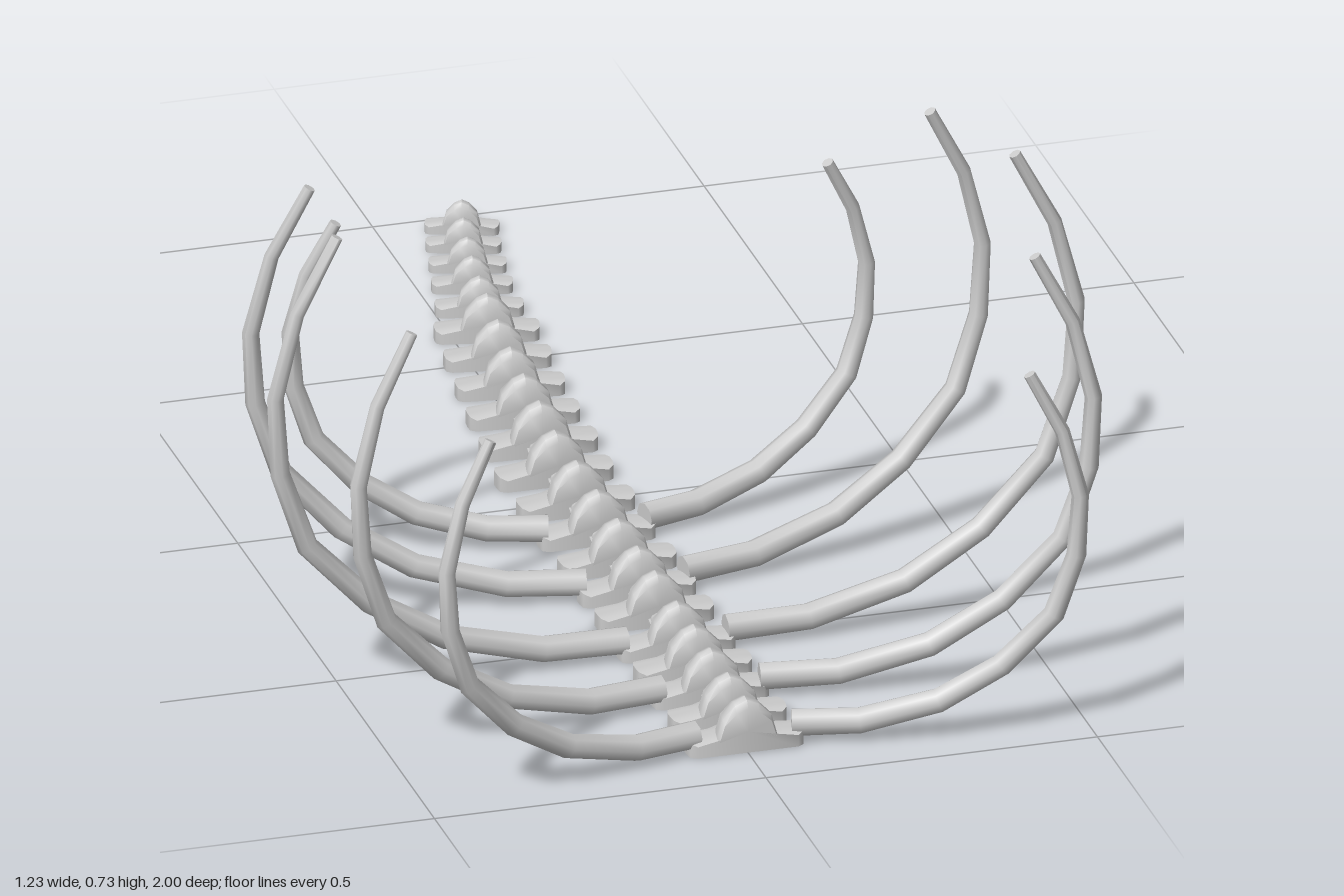
import * as THREE from 'three';
import { toCreasedNormals } from 'three/addons/utils/BufferGeometryUtils.js';

const material = new THREE.MeshStandardMaterial({ color: 0xcccccc });

// Skin a list of equal-length rings and close both ends with fans.
// Rings run counter-clockwise when seen from the side of the first ring.
function loft(rings, crease) {
  const n = rings[0].length, positions = [], index = [];
  rings.forEach(r => r.forEach(p => positions.push(...p)));
  for (let i = 0; i < rings.length - 1; i++) {
    for (let j = 0; j < n; j++) {
      const a = i * n + j, b = i * n + (j + 1) % n;
      index.push(a, a + n, b, b, a + n, b + n);
    }
  }
  [0, rings.length - 1].forEach((i, end) => {
    const centre = positions.length / 3;
    const mid = [0, 1, 2].map(k => rings[i].reduce((s, p) => s + p[k], 0) / n);
    positions.push(...mid);
    for (let j = 0; j < n; j++) {
      const a = i * n + j, b = i * n + (j + 1) % n;
      index.push(centre, end ? b : a, end ? a : b);
    }
  });
  const g = new THREE.BufferGeometry();
  g.setAttribute('position', new THREE.Float32BufferAttribute(positions, 3));
  g.setIndex(index);
  return toCreasedNormals(g, crease);
}

// Vertebra: flat side wings and a domed spine, narrowing to a neck behind.
function vertebraGeometry() {
  // z, wing half width, wing top, spine half width, spine top, underside
  const sections = [
    [0.026, 0.076, 0.019, 0.043, 0.070, 0.001],
    [0.018, 0.085, 0.022, 0.045, 0.081, 0],
    [0.006, 0.087, 0.023, 0.043, 0.083, 0],
    [-0.008, 0.087, 0.023, 0.040, 0.077, 0],
    [-0.020, 0.083, 0.022, 0.036, 0.061, 0],
    [-0.027, 0.046, 0.022, 0.032, 0.051, 0.005],
    [-0.038, 0.029, 0.021, 0.024, 0.040, 0.008],
    [-0.055, 0.021, 0.019, 0.018, 0.032, 0.009],
    [-0.080, 0.017, 0.018, 0.014, 0.027, 0.009],
  ];
  return loft(sections.map(([z, w, t, h, top, y0]) => {
    const rise = top - t;
    const half = [[w, y0], [w, t], [h, t + 0.05 * rise], [h * 0.82, t + 0.55 * rise], [h * 0.4, t + 0.87 * rise]];
    return [
      ...half.map(([x, y]) => [x, y, z]),
      [0, top, z],
      ...half.reverse().map(([x, y]) => [-x, y, z]),
    ];
  }), 0.8);
}

// Rib: a tapering eight-sided tube along a curve in the xy plane.
function ribGeometry(sx, sy) {
  const path = [
    [0.075, 0.028], [0.2, 0.03], [0.345, 0.068], [0.46, 0.138], [0.556, 0.24],
    [0.597, 0.36], [0.604, 0.48], [0.571, 0.61], [0.511, 0.725],
  ].map(([x, y]) => [0.075 + (x - 0.075) * sx, 0.028 + (y - 0.028) * sy]);
  const last = path.length - 1, sides = 8;
  return loft(path.map(([x, y], i) => {
    const p = path[Math.max(i - 1, 0)], q = path[Math.min(i + 1, last)];
    const len = Math.hypot(q[0] - p[0], q[1] - p[1]);
    const nx = -(q[1] - p[1]) / len, ny = (q[0] - p[0]) / len;
    const r = 0.021 - 0.012 * (i / last) ** 1.3;
    return Array.from({ length: sides }, (_, j) => {
      const a = j / sides * Math.PI * 2, c = r * Math.cos(a), s = r * Math.sin(a);
      return [x + nx * c, y + ny * c, -s];
    });
  }), 1.2);
}

export function createModel() {
  const model = new THREE.Group();
  model.name = 'ribCageAndSpine';

  // Spine: straight through the chest, then bending and shrinking to the tail
  const spine = new THREE.Group();
  spine.name = 'spine';
  model.add(spine);
  const vertebra = vertebraGeometry();
  // x, z, scale
  const places = [
    [0, 0.885, 1], [0, 0.80, 1], [0, 0.71, 1], [0, 0.625, 1], [0, 0.54, 1], [0, 0.43, 1], [0, 0.34, 1],
    [0, 0.24, 1], [0, 0.135, 1], [0, 0.03, 1], [0, -0.08, 1], [0.008, -0.185, 1], [0.016, -0.29, 0.95],
    [0.026, -0.39, 0.92], [0.037, -0.49, 0.9], [0.049, -0.585, 0.88], [0.063, -0.67, 0.74],
    [0.076, -0.75, 0.68], [0.09, -0.82, 0.65], [0.104, -0.888, 0.63], [0.12, -0.95, 0.62],
  ];
  places.forEach(([x, z, s], i) => {
    const m = new THREE.Mesh(vertebra, material);
    m.name = 'vertebra' + (i + 1);
    m.position.set(x, 0, z);
    m.rotation.y = -0.34 * Math.max(0, -z - 0.05) / 0.9;
    m.scale.setScalar(s);
    spine.add(m);
  });

  // Rib pairs fanning out from the chest: z, slope towards the front, width and height scale
  const ribs = [
    [0.866, 0.255, 0.79, 0.785], [0.705, 0.165, 0.92, 0.925], [0.542, 0, 1, 1],
    [0.345, -0.19, 0.92, 0.925], [0.155, -0.25, 0.705, 0.705],
  ];
  ribs.forEach(([z, slope, sx, sy], i) => {
    const geometry = ribGeometry(sx, sy), yaw = Math.atan(slope);
    for (const side of ['left', 'right']) {
      const rib = new THREE.Mesh(geometry, material);
      rib.name = side + 'Rib' + (i + 1);
      rib.position.z = z;
      rib.rotation.y = side === 'left' ? -yaw : Math.PI + yaw;
      model.add(rib);
    }
  });
  return model;
}
